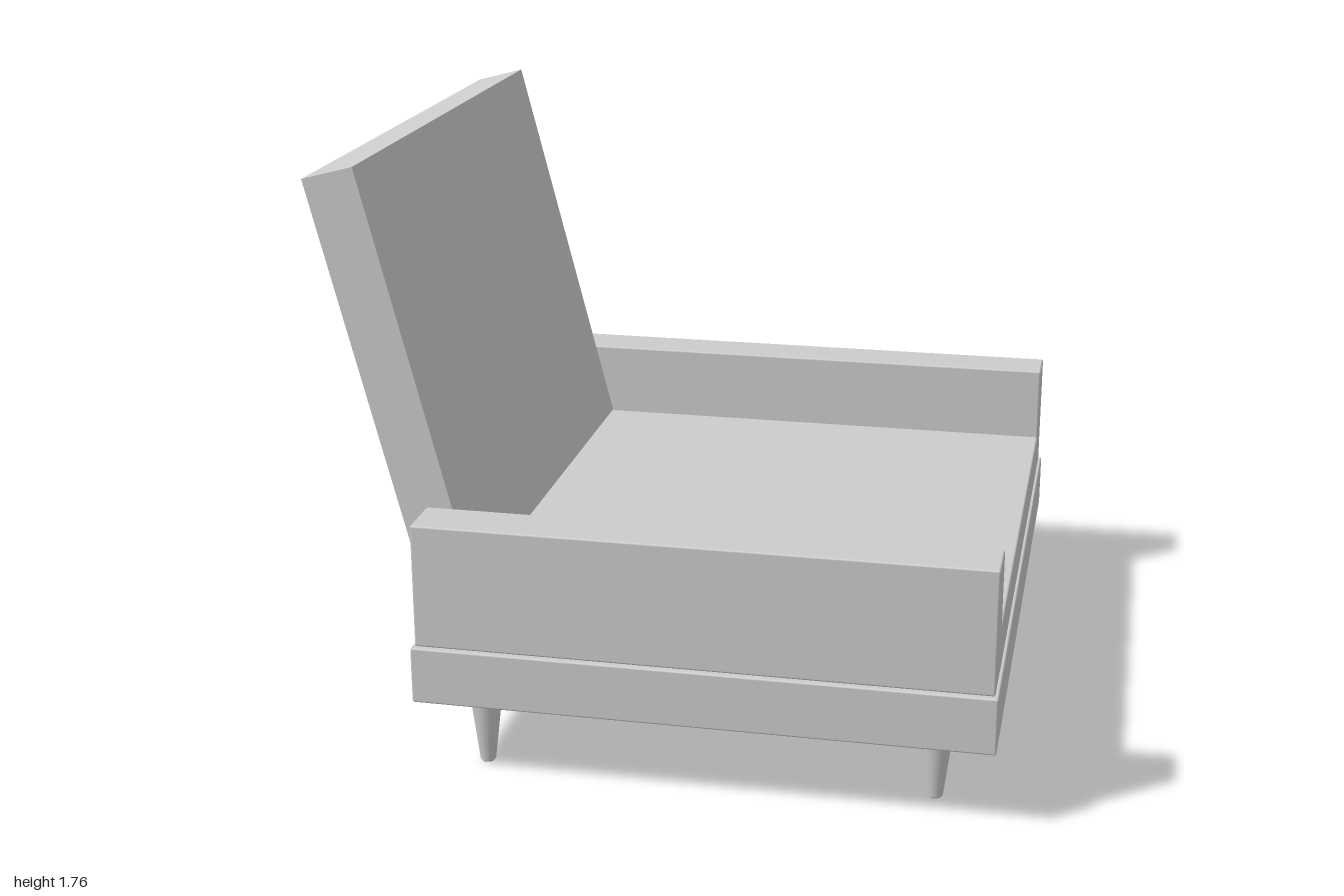
import * as THREE from 'three';
import { RoundedBoxGeometry } from 'three/addons/geometries/RoundedBoxGeometry.js';

export function createModel() {
  const group = new THREE.Group();
  const material = new THREE.MeshStandardMaterial({ color: 0xcccccc });

  const add = (name, geometry) => {
    const mesh = new THREE.Mesh(geometry, material);
    mesh.name = name;
    group.add(mesh);
    return mesh;
  };

  // Softly edged box given by its minimum and maximum corners
  const block = (name, [x0, y0, z0], [x1, y1, z1]) => {
    const geometry = new RoundedBoxGeometry(x1 - x0, y1 - y0, z1 - z0, 2, 0.006);
    add(name, geometry).position.set((x0 + x1) / 2, (y0 + y1) / 2, (z0 + z1) / 2);
  };

  // Base frame and seat cushion; the seat opens towards +x
  block('base', [-0.685, 0.24, -1], [0.99, 0.41, 1]);
  block('seat', [-0.66, 0.405, -0.825], [0.98, 0.545, 0.825]);

  // Low arms on both sides
  block('leftArm', [-0.675, 0.41, 0.83], [0.98, 0.78, 0.985]);
  block('rightArm', [-0.675, 0.41, -0.985], [0.98, 0.78, -0.83]);

  // Reclined backrest: side outline extruded across the width
  const outline = new THREE.Shape([
    new THREE.Vector2(-0.666, 0.41),
    new THREE.Vector2(-0.506, 0.41),
    new THREE.Vector2(-0.85, 1.765),
    new THREE.Vector2(-1, 1.725),
  ]);
  const back = new THREE.ExtrudeGeometry(outline, { depth: 1.656, bevelEnabled: false });
  add('backrest', back.translate(0, 0, -0.828));

  // Tapered legs with slightly rounded feet
  const profile = [[0, 0], [0.018, 0], [0.023, 0.006], [0.046, 0.2], [0.048, 0.245], [0, 0.245]];
  const leg = new THREE.LatheGeometry(profile.map(([r, y]) => new THREE.Vector2(r, y)), 24);
  const legSpots = [[0.81, 0.81], [0.81, -0.875], [-0.51, 0.85], [-0.51, -0.875]];
  for (const [x, z] of legSpots) add('leg', leg).position.set(x, 0, z);

  return group;
}
